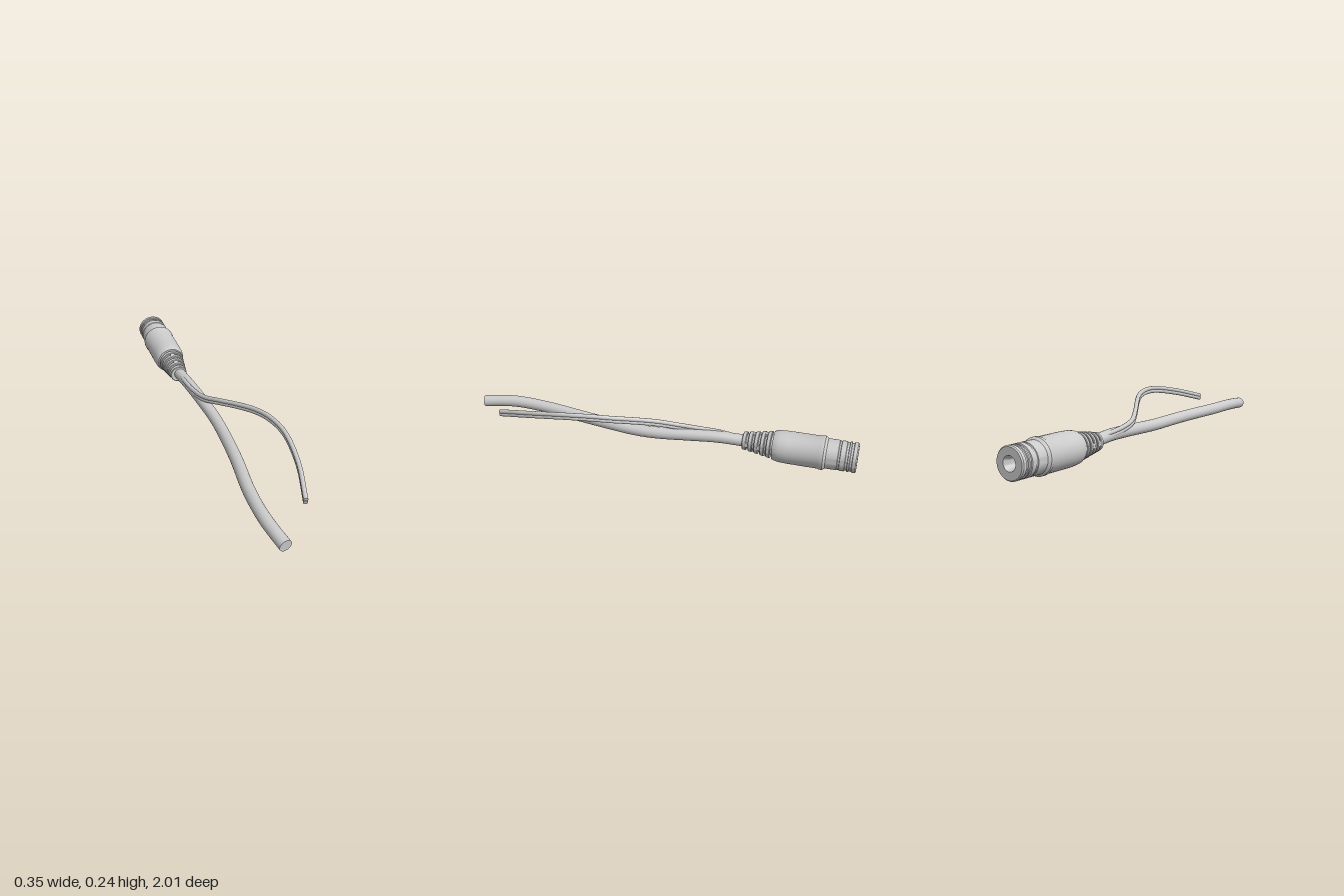
import * as THREE from 'three';
import { toCreasedNormals } from 'three/addons/utils/BufferGeometryUtils.js';

const material = new THREE.MeshStandardMaterial({ color: 0xcccccc });
const AXIS = [-0.092, 0.087];

function addMesh(parent, geometry, name) {
  const mesh = new THREE.Mesh(geometry, material);
  mesh.name = name;
  parent.add(mesh);
  return mesh;
}

// Turned part along z from [radius, z] pairs
function turned(profile) {
  const points = profile.map(([r, z]) => new THREE.Vector2(r, z));
  return toCreasedNormals(new THREE.LatheGeometry(points, 48).rotateX(Math.PI / 2), 0.6);
}

// Round cord along a smooth path, closed with a flat disc at its free end
function addCord(parent, path, radius, segments, sides, name) {
  const curve = new THREE.CatmullRomCurve3(path.map(p => new THREE.Vector3(...p)));
  const cord = new THREE.Group();
  cord.name = name;
  addMesh(cord, new THREE.TubeGeometry(curve, segments, radius, sides), name + 'Sheath');
  const cap = addMesh(cord, new THREE.CircleGeometry(radius, sides), name + 'End');
  const end = curve.getPoint(1);
  cap.position.copy(end);
  cap.lookAt(end.clone().add(curve.getTangent(1)));
  parent.add(cord);
}

export function createModel() {
  const model = new THREE.Group();
  model.name = 'cableWithPlug';

  const plug = new THREE.Group();
  plug.name = 'plug';
  plug.position.set(AXIS[0], AXIS[1], 0);
  model.add(plug);

  // Plug barrel: socket hole, grooved tip, collar and grip
  addMesh(plug, turned([
    [0, -0.84], [0.024, -0.84], [0.024, -0.975], [0.034, -1],
    [0.07, -1], [0.075, -0.994], [0.075, -0.978], [0.07, -0.976],
    [0.07, -0.966], [0.075, -0.964], [0.075, -0.956], [0.07, -0.954],
    [0.07, -0.944], [0.075, -0.942], [0.075, -0.918], [0.072, -0.916],
    [0.072, -0.908], [0.075, -0.906], [0.075, -0.85], [0.079, -0.846],
    [0.085, -0.838], [0.085, -0.822], [0.082, -0.815], [0.082, -0.66],
    [0.08, -0.62], [0.077, -0.6], [0.071, -0.586], [0, -0.586],
  ]), 'barrel');

  // Strain relief: tapering core, ribs and staggered bridges between the ribs
  addMesh(plug, turned([[0.054, -0.59], [0.035, -0.432], [0, -0.432]]), 'reliefCore');
  const ribs = 5, pitch = 0.031;
  for (let i = 0; i < ribs; i++) {
    const z = -0.577 + i * pitch;
    const r = 0.068 - i * 0.0052;
    const inner = 0.05 - i * 0.004;
    addMesh(plug, turned([
      [inner, z], [r - 0.002, z], [r, z + 0.003],
      [r - 0.002, z + 0.018], [r - 0.005, z + 0.021], [inner, z + 0.021],
    ]), 'reliefRib');
    if (i === ribs - 1) continue;
    for (const side of [-1, 1]) {
      const bridge = addMesh(plug, new THREE.BoxGeometry(0.024, 0.022, 0.016), 'reliefBridge');
      const angle = side * Math.PI / 2 + (i % 2) * Math.PI / 2;
      bridge.position.set(Math.cos(angle) * (r - 0.018), Math.sin(angle) * (r - 0.018), z + 0.026);
      bridge.rotation.z = angle;
    }
  }

  // Main cable
  addCord(model, [
    [-0.092, 0.087, -0.5], [-0.086, 0.09, -0.42], [-0.074, 0.095, -0.3],
    [-0.057, 0.09, -0.15], [-0.043, 0.083, 0], [-0.042, 0.081, 0.12],
    [-0.062, 0.093, 0.38], [-0.094, 0.103, 0.64], [-0.099, 0.107, 0.82],
    [-0.088, 0.102, 0.92], [-0.074, 0.095, 1],
  ], 0.03, 64, 24, 'cable');

  // Thin twin wire that peels away from the cable
  const wirePath = [
    [-0.088, 0.092, -0.44], [-0.095, 0.105, -0.32], [-0.083, 0.115, -0.2],
    [-0.06, 0.13, -0.1], [-0.01, 0.16, 0], [0.05, 0.187, 0.1],
    [0.105, 0.208, 0.2], [0.14, 0.22, 0.3], [0.16, 0.218, 0.43],
    [0.143, 0.186, 0.63], [0.095, 0.139, 0.82],
  ];
  for (const dy of [-0.008, 0.008]) {
    addCord(model, wirePath.map(([x, y, z]) => [x, y + dy, z]), 0.011, 60, 14,
      dy > 0 ? 'upperWire' : 'lowerWire');
  }
  return model;
}
